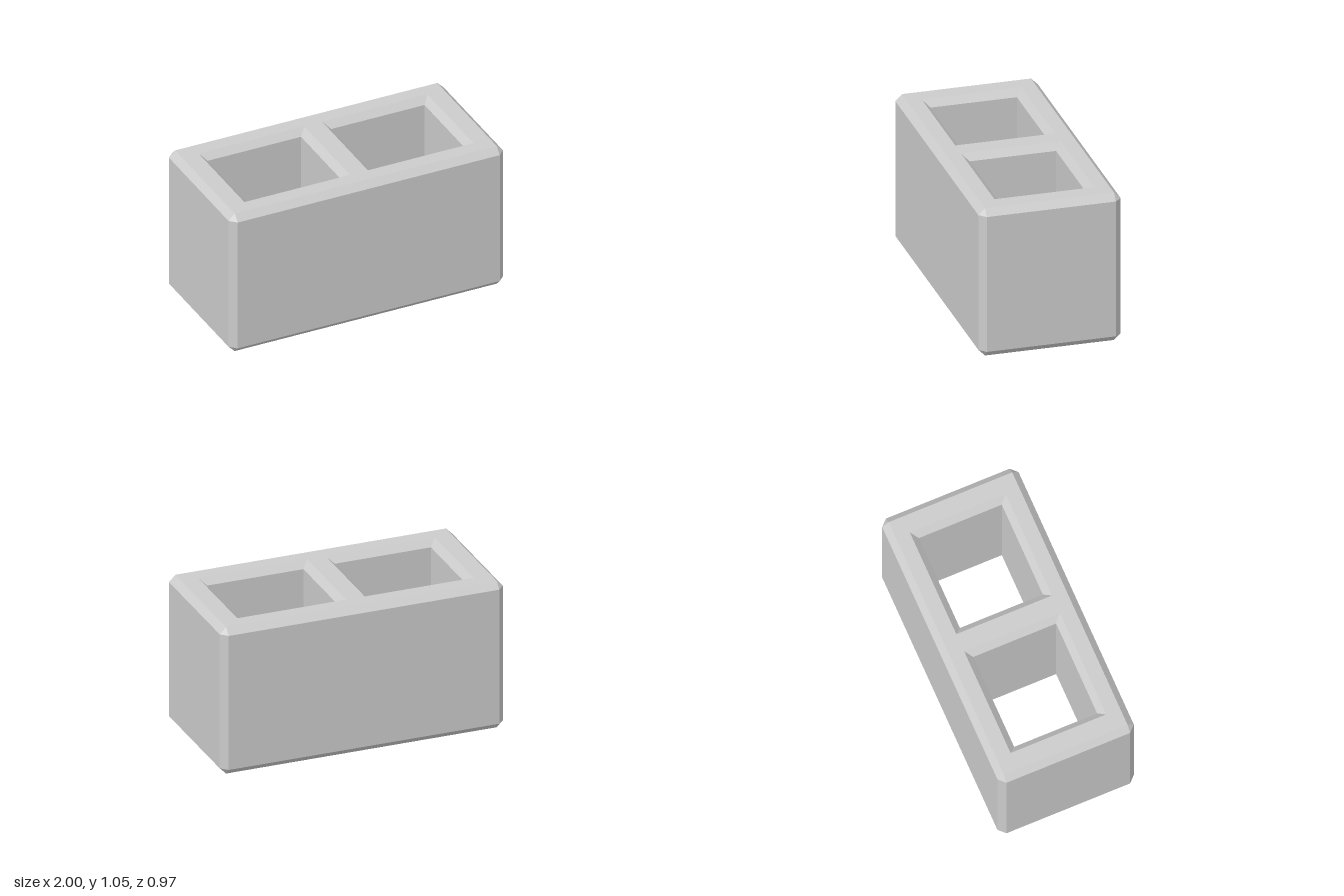
import * as THREE from 'three';

const HX = 1, HZ = 0.485, H = 1.055, C = 0.045; // half length, half depth, height, chamfer
const CELL_X = 0.45, CELL_HX = 0.385, CELL_HZ = 0.34; // cell centre and mouth half sizes
const CORNERS = [[-1, 1], [1, 1], [1, -1], [-1, -1]];

const material = new THREE.MeshStandardMaterial({ color: 0xcccccc, flatShading: true });

// Joins a stack of equal-length rings of Vector3 with flat faces
function loft(rings) {
  const pos = [];
  const tri = new THREE.Triangle();
  const add = (a, b, c) => {
    if (tri.set(a, b, c).getArea() > 1e-8) for (const p of [a, b, c]) pos.push(p.x, p.y, p.z);
  };
  for (let i = 0; i < rings.length - 1; i++) {
    const lo = rings[i], hi = rings[i + 1], n = lo.length;
    for (let j = 0; j < n; j++) {
      const k = (j + 1) % n;
      add(lo[j], lo[k], hi[k]);
      add(lo[j], hi[k], hi[j]);
    }
  }
  const g = new THREE.BufferGeometry();
  g.setAttribute('position', new THREE.Float32BufferAttribute(pos, 3));
  g.computeVertexNormals();
  return g;
}

// Rectangle ring with cut corners; cx and cz are the half sizes of the flat sides
function outerRing(y, hx, hz) {
  const cx = HX - C, cz = HZ - C;
  return CORNERS.flatMap(([sx, sz]) => {
    const onSide = new THREE.Vector3(sx * hx, y, sz * cz);
    const onFace = new THREE.Vector3(sx * cx, y, sz * hz);
    return sx * sz < 0 ? [onSide, onFace] : [onFace, onSide];
  });
}

// Rectangle ring running the other way, so its walls face into the cell
function cellRing(y, x, inset) {
  return CORNERS.map(([sx, sz]) =>
    new THREE.Vector3(x + sx * (CELL_HX - inset), y, sz * (CELL_HZ - inset))).reverse();
}

function rectangle(path, x, hx, hz) {
  path.moveTo(x - hx, -hz).lineTo(x + hx, -hz).lineTo(x + hx, hz).lineTo(x - hx, hz).closePath();
  return path;
}

export function createModel() {
  const block = new THREE.Group();
  block.name = 'hollowBlock';
  const add = (name, geometry) => {
    const mesh = new THREE.Mesh(geometry, material);
    mesh.name = name;
    block.add(mesh);
  };

  // Outer walls with chamfered edges and corners
  add('outerWalls', loft([
    outerRing(0, HX - C, HZ - C),
    outerRing(C, HX, HZ),
    outerRing(H - C, HX, HZ),
    outerRing(H, HX - C, HZ - C),
  ]));

  // Two through cells with bevelled mouths
  for (const s of [-1, 1]) {
    const x = s * CELL_X;
    add(s < 0 ? 'rightCellWalls' : 'leftCellWalls', loft([
      cellRing(0, x, 0),
      cellRing(C, x, C),
      cellRing(H - C, x, C),
      cellRing(H, x, 0),
    ]));
  }

  // Top and bottom faces pierced by the cells
  const face = rectangle(new THREE.Shape(), 0, HX - C, HZ - C);
  for (const s of [-1, 1]) face.holes.push(rectangle(new THREE.Path(), s * CELL_X, CELL_HX, CELL_HZ));
  add('topFace', new THREE.ShapeGeometry(face).rotateX(-Math.PI / 2).translate(0, H, 0));
  add('bottomFace', new THREE.ShapeGeometry(face).rotateX(Math.PI / 2));

  return block;
}
